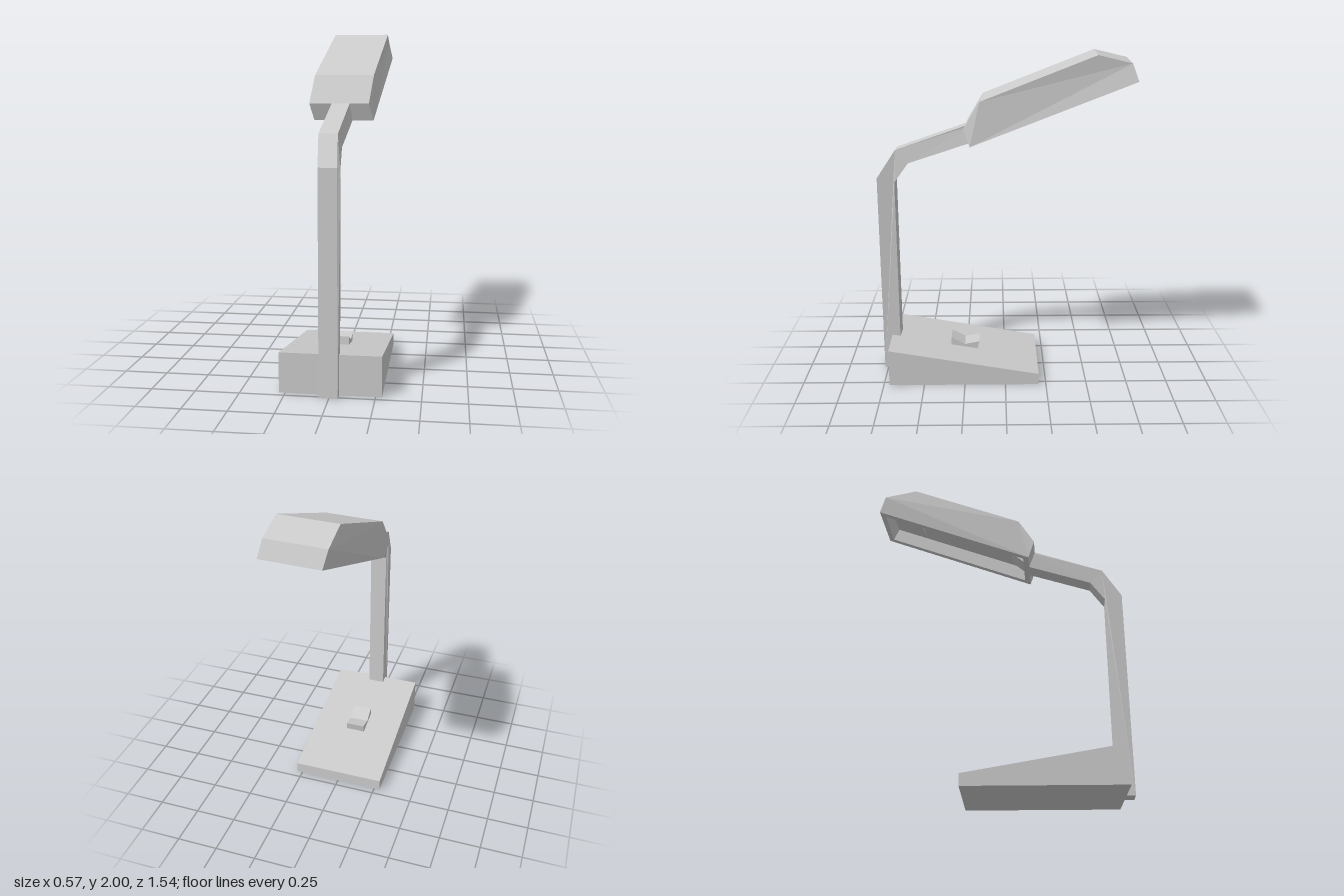
import * as THREE from 'three';

const material = new THREE.MeshStandardMaterial({ color: 0xcccccc, flatShading: true });

// Mesh from flat convex polygons, corners counter-clockwise from outside
function polyMesh(name, polygons) {
  const pos = [];
  for (const p of polygons) {
    for (let i = 1; i < p.length - 1; i++) {
      for (const v of [p[0], p[i], p[i + 1]]) pos.push(v.x, v.y, v.z);
    }
  }
  const geometry = new THREE.BufferGeometry();
  geometry.setAttribute('position', new THREE.Float32BufferAttribute(pos, 3));
  geometry.computeVertexNormals();
  const mesh = new THREE.Mesh(geometry, material);
  mesh.name = name;
  return mesh;
}

// Side profile of [z, y, centre x] swept across x; yaw moves the right side back.
// openEdge leaves out the face on the first profile edge.
function prism(name, profile, width, yaw = 0, openEdge = false) {
  const left = profile.map(([z, y, x = 0]) => new THREE.Vector3(x + width / 2, y, z));
  const right = profile.map(([z, y, x = 0]) => new THREE.Vector3(x - width / 2, y, z - yaw));
  const outline = profile.map(([z, y]) => new THREE.Vector2(-z, y));
  const faces = [];
  for (const [a, b, c] of THREE.ShapeUtils.triangulateShape(outline, [])) {
    faces.push([left[a], left[b], left[c]], [right[c], right[b], right[a]]);
  }
  for (let i = openEdge ? 1 : 0; i < profile.length; i++) {
    const j = (i + 1) % profile.length;
    faces.push([left[j], left[i], right[i], right[j]]);
  }
  return polyMesh(name, faces);
}

// Rim and recess on the underside of the head
function recess(corners, insetU, insetV, depth) {
  const [tipL, nearL, nearR, tipR] = corners;
  const at = (u, v) => nearL.clone().lerp(nearR, u).lerp(tipL.clone().lerp(tipR, u), v);
  const inner = [
    at(insetU, 1 - insetV), at(insetU, insetV),
    at(1 - insetU, insetV), at(1 - insetU, 1 - insetV),
  ];
  const up = new THREE.Vector3(0, 0.93, 0.37).multiplyScalar(depth);
  const deep = inner.map((p) => p.clone().add(up));
  const faces = [deep];
  for (let k = 0; k < 4; k++) {
    const n = (k + 1) % 4;
    faces.push([corners[k], corners[n], inner[n], inner[k]]);
    faces.push([inner[k], inner[n], deep[n], deep[k]]);
  }
  return polyMesh('headRecess', faces);
}

export function createModel() {
  const lamp = new THREE.Group();
  lamp.name = 'deskLamp';

  // Wedge base and rocker switch
  lamp.add(prism('base', [[0.715, 0], [-0.205, 0], [-0.205, 0.07], [0.715, 0.23]], 0.57));
  lamp.add(prism('switch', [
    [0.344, 0.15], [0.175, 0.125], [0.164, 0.185], [0.254, 0.167], [0.339, 0.213],
  ], 0.12));

  // Bent arm
  lamp.add(prism('arm', [
    [0.77, 0, -0.003], [0.665, 0, -0.003], [0.665, 1.23, -0.001], [0.58, 1.347, -0.003],
    [0.2, 1.475, 0.01], [0.2, 1.575, -0.003],
    [0.243, 1.571, -0.003], [0.656, 1.426, -0.015], [0.77, 1.255, -0.003],
  ], 0.105, 0.004));

  // Hollow head, slightly turned
  const yaw = 0.016;
  const width = 0.35;
  lamp.add(prism('headShell', [
    [0.206, 1.473, 0.01], [-0.75, 1.853, 0.052], [-0.714, 1.953, 0.031],
    [-0.518, 2, 0.036], [0.148, 1.735, 0.006], [0.243, 1.571, -0.014],
  ], width, yaw, true));
  const corner = (x, y, z, side) =>
    new THREE.Vector3(x + side * width / 2, y, side > 0 ? z : z - yaw);
  lamp.add(recess([
    corner(0.052, 1.853, -0.75, 1), corner(0.01, 1.473, 0.206, 1),
    corner(0.01, 1.473, 0.206, -1), corner(0.052, 1.853, -0.75, -1),
  ], 0.1, 0.035, 0.085));

  // Light bar inside the head
  lamp.add(prism('lightBar', [
    [0.2, 1.477, 0.008], [0.09, 1.575, 0.012], [-0.48, 1.8, 0.038],
    [-0.51, 1.855, 0.038], [0.2, 1.575, 0.006],
  ], 0.12, 0.005));

  return lamp;
}
